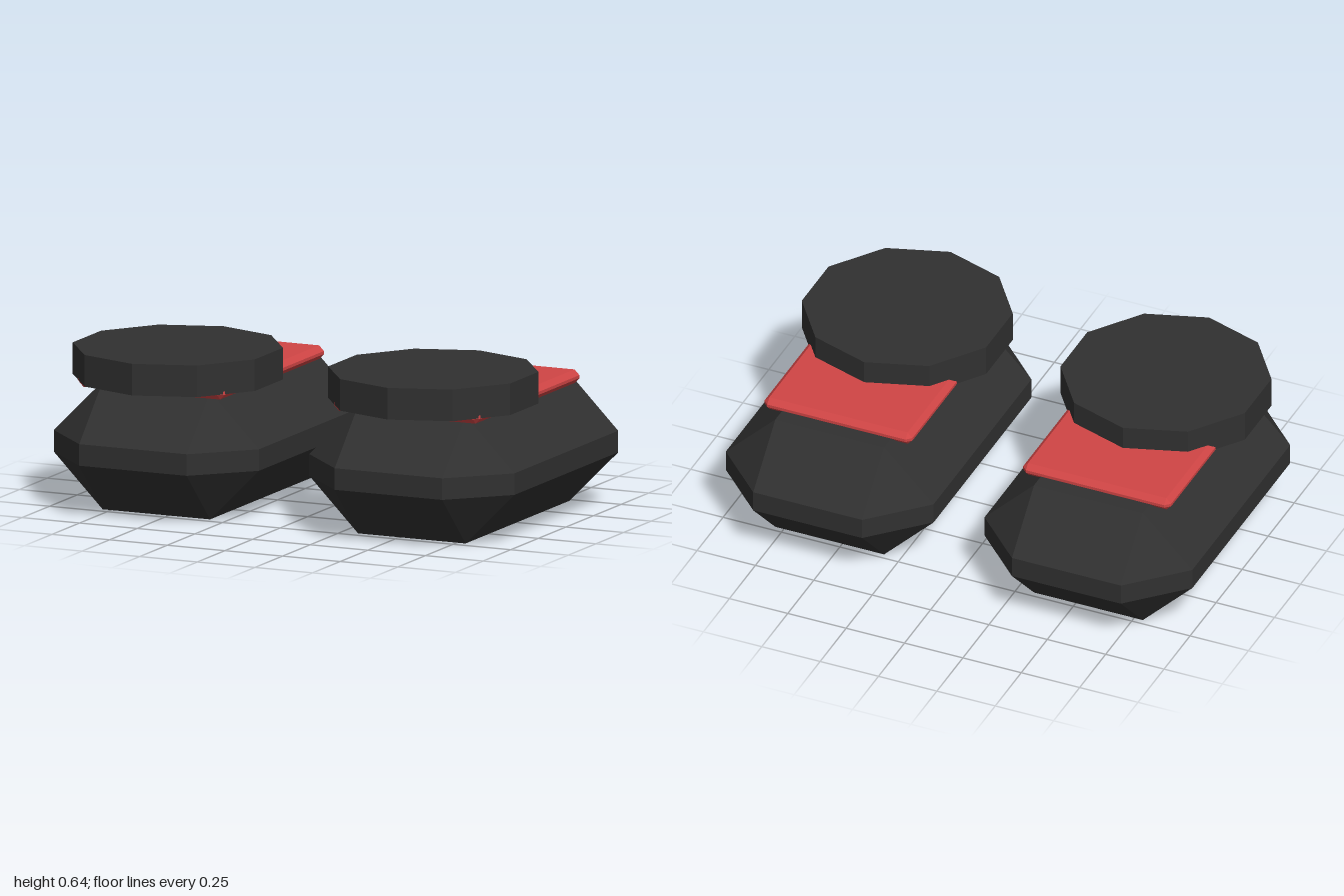
import * as THREE from 'three';
import { ConvexGeometry } from 'three/addons/geometries/ConvexGeometry.js';

// Box with evenly chamfered edges and triangular corners
function chamferedBox(w, h, d, c) {
  const points = [];
  for (const sx of [-1, 1]) for (const sy of [-1, 1]) for (const sz of [-1, 1]) {
    const x = w / 2, y = h / 2, z = d / 2;
    points.push(
      new THREE.Vector3(sx * x, sy * (y - c), sz * (z - c)),
      new THREE.Vector3(sx * (x - c), sy * y, sz * (z - c)),
      new THREE.Vector3(sx * (x - c), sy * (y - c), sz * z)
    );
  }
  return new ConvexGeometry(points);
}

export function createModel() {
  const black = new THREE.MeshStandardMaterial({ color: 0x303030 });
  black.name = 'charcoal';
  black.flatShading = true;
  const red = new THREE.MeshStandardMaterial({ color: 0xd04545 });
  red.name = 'red';
  red.flatShading = true;

  const bodyGeometry = chamferedBox(0.89, 0.51, 1.364, 0.212);
  const plateGeometry = chamferedBox(0.634, 0.054, 0.94, 0.021);
  const discGeometry = new THREE.CylinderGeometry(0.415, 0.415, 0.126, 10);

  const model = new THREE.Group();
  model.name = 'pair';

  for (const side of [-1, 1]) {
    const unit = new THREE.Group();
    unit.name = side > 0 ? 'leftUnit' : 'rightUnit';
    unit.position.x = side * 0.554;

    const add = (name, geometry, material, y, z) => {
      const mesh = new THREE.Mesh(geometry, material);
      mesh.name = name;
      mesh.position.set(0, y, z);
      unit.add(mesh);
    };
    add('body', bodyGeometry, black, 0.255, -0.006);
    add('plate', plateGeometry, red, 0.518, 0.057);
    add('disc', discGeometry, black, 0.577, 0.269);
    model.add(unit);
  }
  return model;
}
